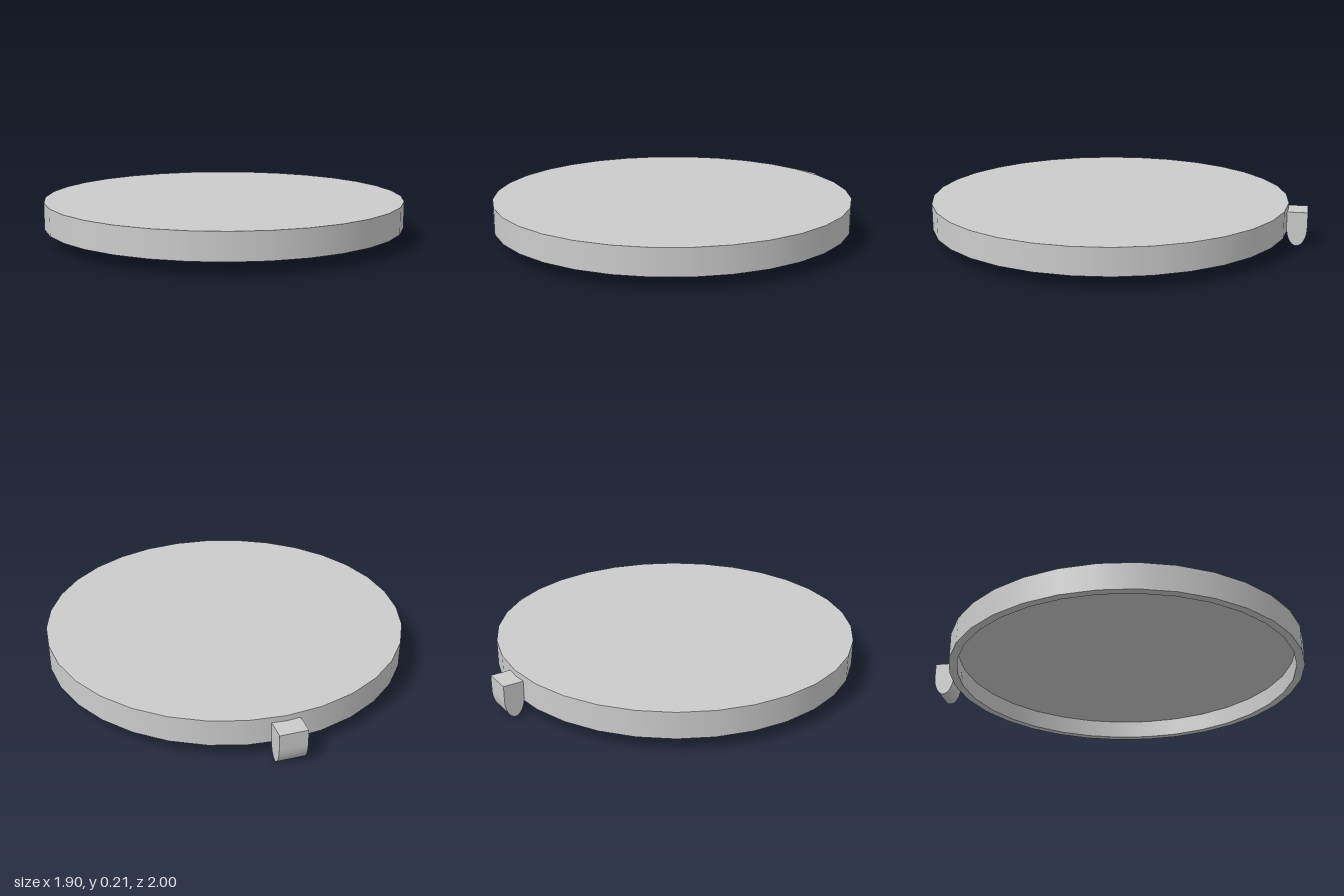
import * as THREE from 'three';
import { toCreasedNormals } from 'three/addons/utils/BufferGeometryUtils.js';

export function createModel() {
  const model = new THREE.Group();
  const grey = new THREE.MeshStandardMaterial({ color: 0xcccccc });
  grey.name = 'grey';

  // Shallow hollow lid: each profile step is its own lathe band, so corners stay sharp
  const outer = 0.95, inner = 0.907, bottom = 0.07, floor = 0.17, top = 0.21;
  const profile = [
    ['lidUnderside', 0, floor],
    ['innerWall', inner, floor],
    ['rim', inner, bottom],
    ['outerWall', outer, bottom],
    ['lidTop', outer, top],
    ['', 0, top],
  ];
  const lid = new THREE.Group();
  lid.name = 'lid';
  lid.position.z = 0.05;
  for (let i = 0; i < profile.length - 1; i++) {
    const [name, r0, y0] = profile[i];
    const [, r1, y1] = profile[i + 1];
    const points = [new THREE.Vector2(r0, y0), new THREE.Vector2(r1, y1)];
    const band = new THREE.Mesh(new THREE.LatheGeometry(points, 32), grey);
    band.name = name;
    lid.add(band);
  }
  model.add(lid);

  // Thumb tab at the back: square top, rounded bottom, drawn in (z, y) and extruded along x
  const width = 0.144, half = 0.053, shoulder = 0.1, tabTop = 0.18;
  const side = new THREE.Shape();
  side.moveTo(half, tabTop);
  side.lineTo(-half, tabTop);
  side.lineTo(-half, shoulder);
  side.absellipse(0, shoulder, half, shoulder, Math.PI, Math.PI * 2, false);
  side.closePath();
  const tabGeometry = new THREE.ExtrudeGeometry(side, { depth: width, bevelEnabled: false, curveSegments: 12 });
  tabGeometry.translate(0, 0, -width / 2).rotateY(-Math.PI / 2);
  const tab = new THREE.Mesh(toCreasedNormals(tabGeometry, 0.7), grey);
  tab.name = 'tab';
  tab.position.z = -1 + half;
  model.add(tab);

  return model;
}
